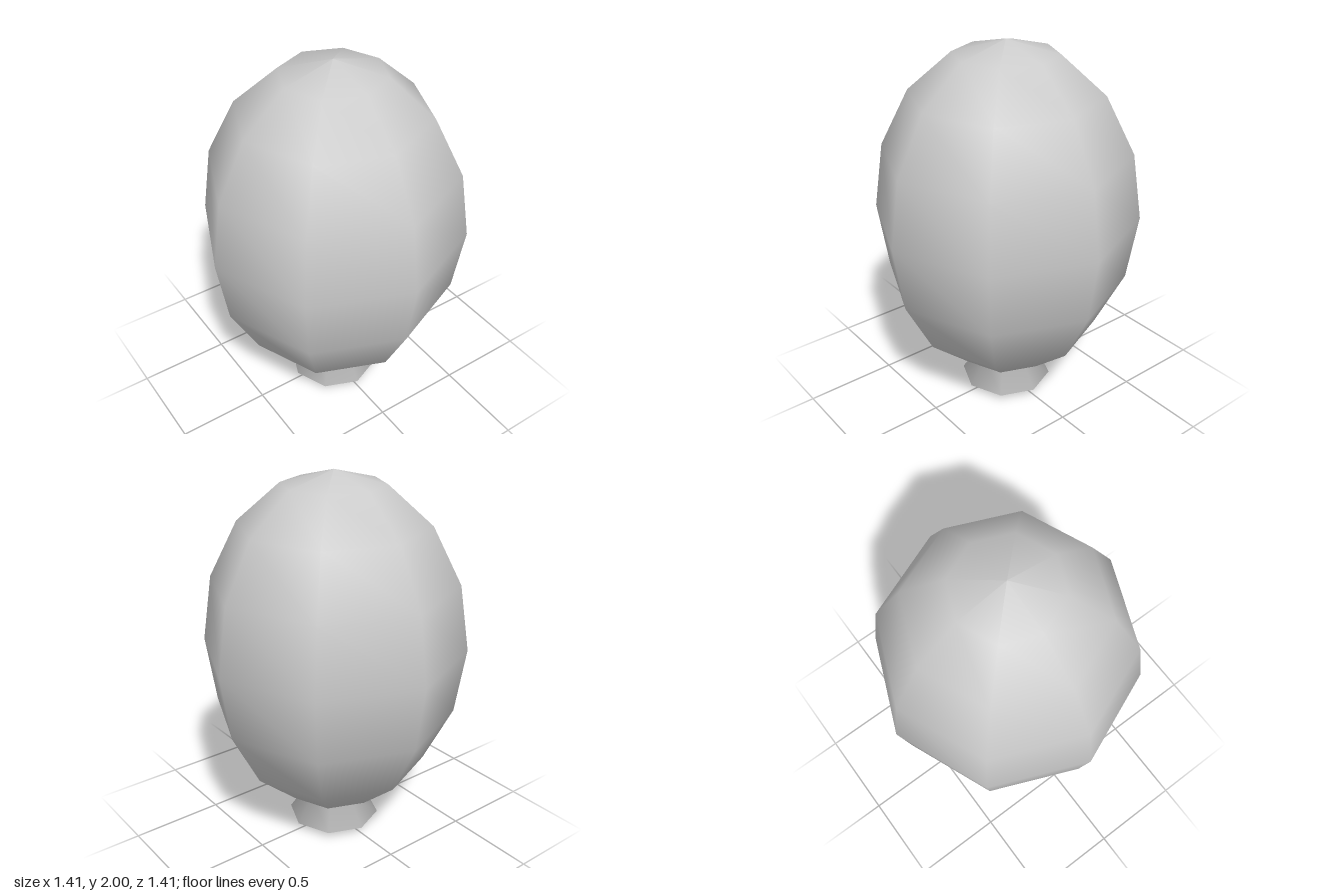
import * as THREE from 'three';

const SIDES = 8;

// Smooth-shaded, eight-sided surface of revolution; profile runs bottom to top
function turned(name, profile, material) {
  const points = profile.map(([r, y]) => new THREE.Vector2(r, y));
  const mesh = new THREE.Mesh(new THREE.LatheGeometry(points, SIDES), material);
  mesh.name = name;
  return mesh;
}

export function createModel() {
  const group = new THREE.Group();
  group.name = 'balloon';
  const material = new THREE.MeshStandardMaterial({ color: 0xcccccc });

  const profile = [
    // hollow inside the mouth
    [0, 0.14], [0.1, 0.11],
    // rolled lip
    [0.15, 0], [0.252, 0.035],
    // neck
    [0.155, 0.178],
  ];

  // rounded body: rings at even angles from just above the neck to the crown
  const radius = 0.707, halfHeight = 0.93, centre = 1.07;
  for (let i = 1; i <= 8; i++) {
    const a = (i / 8) * Math.PI;
    profile.push([i === 8 ? 0 : radius * Math.sin(a), centre - halfHeight * Math.cos(a)]);
  }

  group.add(turned('balloonSkin', profile, material));
  return group;
}
